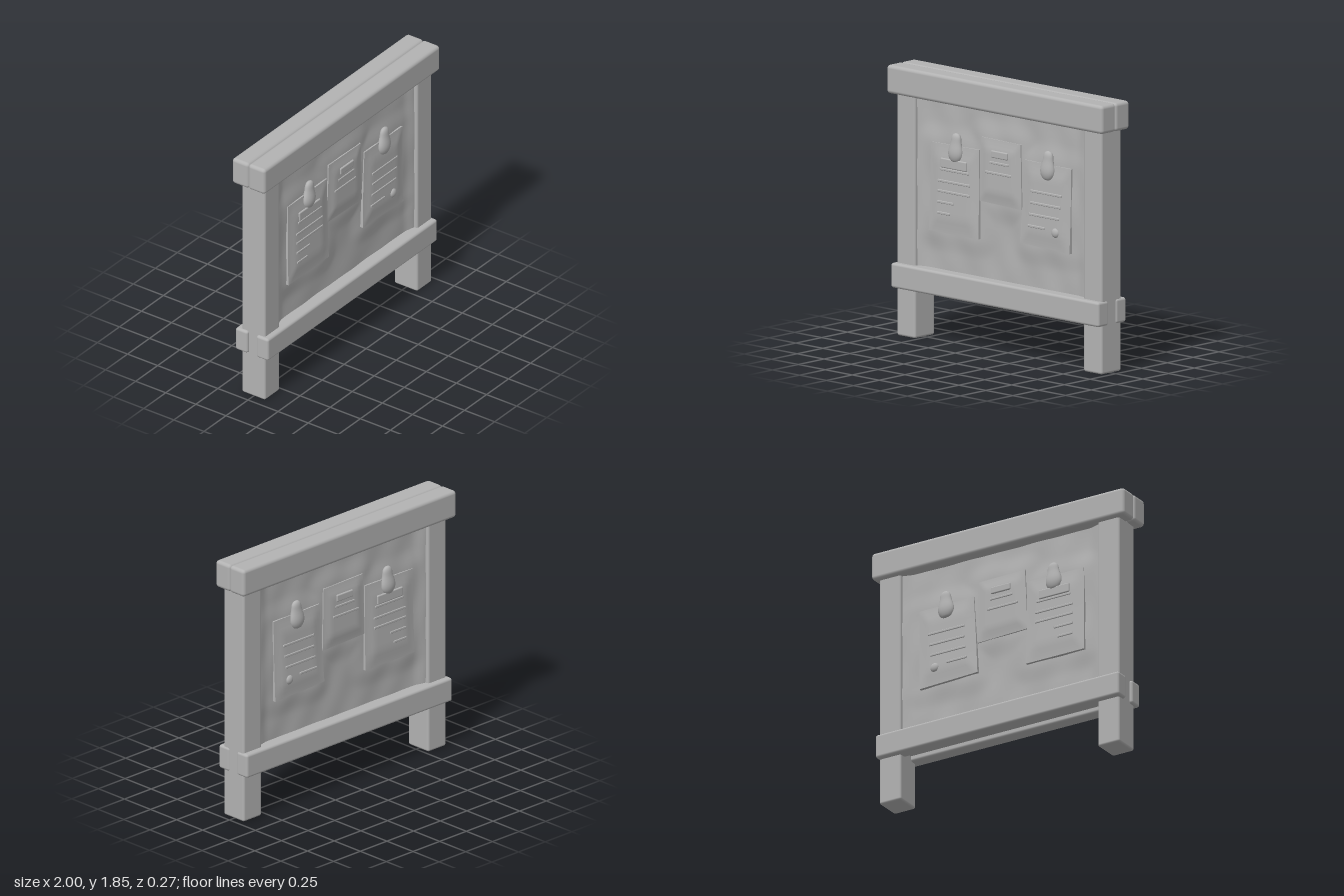
import * as THREE from 'three';
import { toCreasedNormals } from 'three/addons/utils/BufferGeometryUtils.js';
import { RoundedBoxGeometry } from 'three/addons/geometries/RoundedBoxGeometry.js';

const grey = new THREE.MeshStandardMaterial({ color: 0xb2b2b2 });
grey.name = 'plain grey';

// Rounded box given by its extents
function slab(x0, x1, y0, y1, z0, z1, r) {
  return new RoundedBoxGeometry(x1 - x0, y1 - y0, z1 - z0, 3, r)
    .translate((x0 + x1) / 2, (y0 + y1) / 2, (z0 + z1) / 2);
}

// Copy reflected front to back, with the corner order reversed
function mirrorZ(geo) {
  const g = (geo.index ? geo.toNonIndexed() : geo.clone()).scale(1, 1, -1);
  const index = [];
  for (let i = 0; i < g.attributes.position.count; i += 3) index.push(i, i + 2, i + 1);
  g.setIndex(index);
  return g;
}

const smooth = THREE.MathUtils.smoothstep;

// Notices: corners run top left, top right, bottom right, bottom left
const notices = [
  { name: 'leftNotice', c: [[-0.645, 1.37], [-0.2, 1.375], [-0.195, 0.765], [-0.655, 0.765]], curl: 0.012,
    lines: [[-0.55, -0.28, 1.2], [-0.57, -0.27, 1.12], [-0.57, -0.27, 1.05], [-0.57, -0.42, 0.975], [-0.57, -0.45, 0.9]] },
  { name: 'middleNotice', c: [[-0.18, 1.47], [0.185, 1.465], [0.195, 1.02], [-0.2, 1.03]], curl: 0,
    lines: [[-0.09, 0.09, 1.31], [-0.13, 0.11, 1.24]] },
  { name: 'rightNotice', c: [[0.225, 1.37], [0.655, 1.365], [0.65, 0.785], [0.19, 0.8]], curl: 0.012,
    lines: [[0.29, 0.58, 1.17], [0.29, 0.57, 1.09], [0.28, 0.56, 1.01], [0.27, 0.43, 0.93]] },
];

// Soft sheet stretched over the four corners, thin at the rim and curling at the bottom
function sheet({ c, curl }) {
  const g = new THREE.BoxGeometry(1, 1, 1, 16, 16, 1);
  const p = g.attributes.position;
  for (let i = 0; i < p.count; i++) {
    const u = p.getX(i) + 0.5, v = 0.5 - p.getY(i);
    const at = k => (c[0][k] * (1 - u) + c[1][k] * u) * (1 - v) + (c[3][k] * (1 - u) + c[2][k] * u) * v;
    const rim = Math.min(u, 1 - u, v, 1 - v);
    const front = 0.072 + 0.013 * smooth(rim, 0, 0.2) + curl * v * v;
    p.setXYZ(i, at(0), at(1), p.getZ(i) > 0 ? front : 0.04);
  }
  return toCreasedNormals(g, 0.7);
}

// Board face with cloth-like swells around the notices and frame
function boardFace() {
  const g = new THREE.PlaneGeometry(1.66, 1.3, 64, 50).translate(0.01, 1.06, 0);
  const p = g.attributes.position;
  for (let i = 0; i < p.count; i++) {
    const x = p.getX(i), y = p.getY(i);
    let swell = 0;
    for (const { c } of notices) {
      const dx = Math.max(c[0][0] - x, x - c[1][0], 0);
      const dy = Math.max(c[2][1] - y, y - c[0][1], 0);
      swell = Math.max(swell, 1 - smooth(Math.hypot(dx, dy), 0, 0.15));
    }
    const frame = smooth(Math.abs(x - 0.01), 0.68, 0.8);
    p.setZ(i, 0.05 + 0.013 * swell + 0.025 * frame + 0.004 * Math.sin(x * 17) * Math.sin(y * 13 + x * 5));
  }
  g.computeVertexNormals();
  return g;
}

// Teardrop pin head, narrow at the top
function pin(x, lean) {
  const profile = [[0, -0.1], [0.035, -0.092], [0.057, -0.06], [0.06, -0.02], [0.045, 0.035], [0.038, 0.075], [0.022, 0.096], [0, 0.102]]
    .map(q => new THREE.Vector2(q[0], q[1]));
  return new THREE.LatheGeometry(new THREE.SplineCurve(profile).getPoints(20).map(q => q.setX(Math.max(q.x, 0))), 20)
    .scale(1, 1, 0.6).rotateZ(lean).translate(x, 1.36, 0.076);
}

export function createModel() {
  const model = new THREE.Group();
  model.name = 'noticeBoard';

  const add = (parent, name, geo) => {
    const mesh = new THREE.Mesh(geo, grey);
    mesh.name = name;
    parent.add(mesh);
  };

  // Posts and core of the board
  add(model, 'rightPost', slab(-0.94, -0.77, 0.005, 1.72, -0.097, 0.097, 0.016));
  add(model, 'leftPost', slab(0.79, 0.96, 0.005, 1.72, -0.097, 0.097, 0.016));
  add(model, 'boardCore', slab(-0.8, 0.82, 0.37, 1.72, -0.035, 0.035, 0.005));

  // Everything below occurs on both the front and the back
  const front = new THREE.Group(), back = new THREE.Group();
  front.name = 'frontSide';
  back.name = 'backSide';
  model.add(front, back);
  const addBoth = (name, geo) => {
    add(front, name, geo);
    add(back, name, mirrorZ(geo));
  };

  addBoth('topBeam', slab(-1, 1, 1.66, 1.855, -0.003, 0.137, 0.024));
  addBoth('bottomRail', slab(-0.96, 0.968, 0.335, 0.505, 0.035, 0.137, 0.018));
  addBoth('boardFace', boardFace());

  for (const n of notices) {
    addBoth(n.name, sheet(n));
    // Raised writing lines follow the curl of the sheet
    for (const [x0, x1, y] of n.lines) {
      const v = (n.c[0][1] - y) / (n.c[0][1] - n.c[3][1]);
      const z = 0.085 + n.curl * v * v;
      addBoth(n.name + 'Line', slab(x0, x1, y - 0.009, y + 0.009, z - 0.014, z + 0.005, 0.005));
    }
  }

  // Pins, clip, label and button
  addBoth('leftPin', pin(-0.41, -0.06));
  addBoth('rightPin', pin(0.443, -0.06));
  addBoth('clip', slab(-0.54, -0.3, 1.212, 1.278, 0.06, 0.094, 0.008));
  addBoth('label', slab(-0.073, 0.08, 1.345, 1.395, 0.06, 0.094, 0.008));
  addBoth('button', new THREE.SphereGeometry(0.033, 16, 10).scale(1, 1, 0.6).translate(0.525, 0.913, 0.088));

  return model;
}
